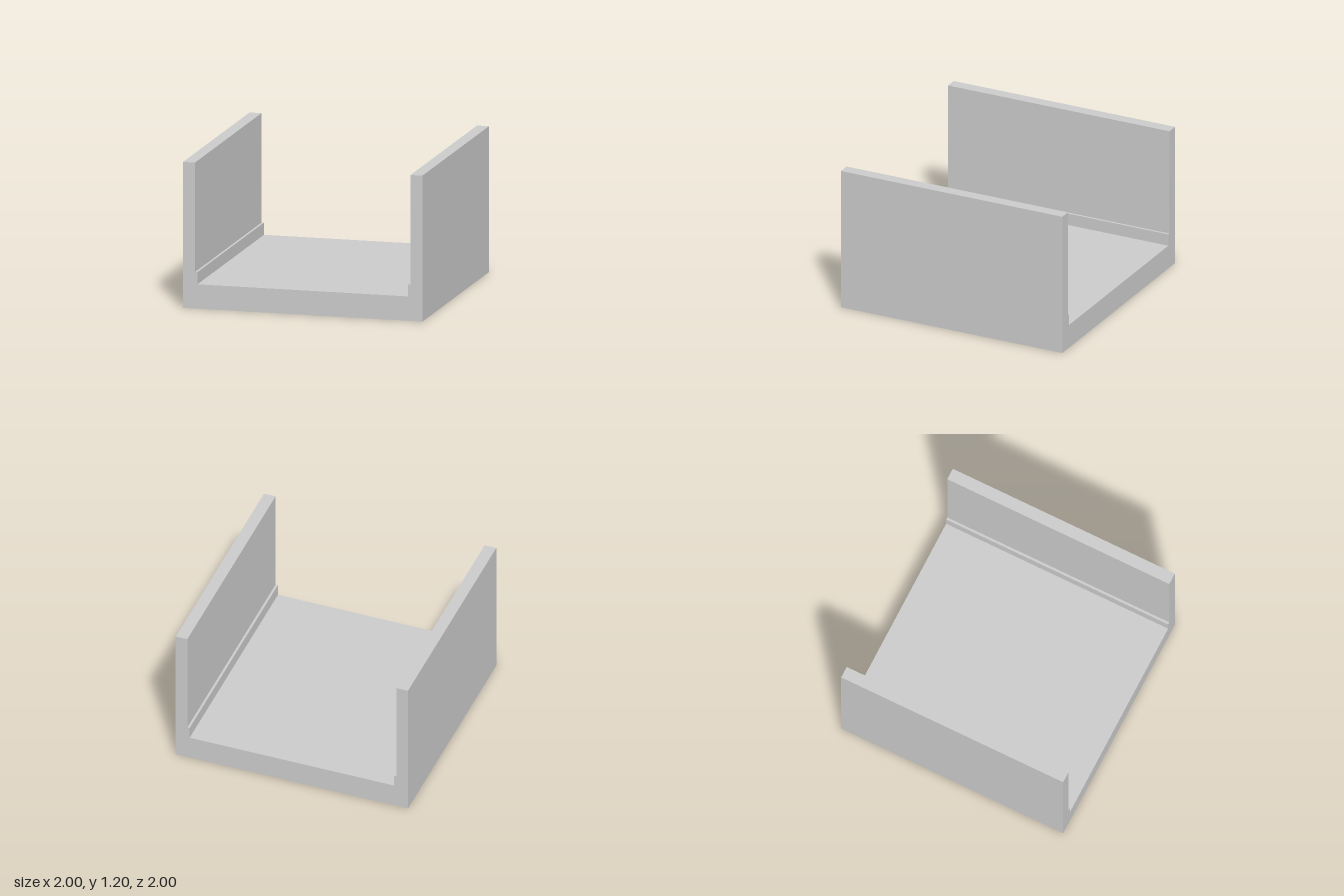
import * as THREE from 'three';

export function createModel() {
  const model = new THREE.Group();
  const material = new THREE.MeshStandardMaterial({ color: 0xcccccc });
  const depth = 2;

  // Full-depth box given by its x and y extents
  const addSlab = (name, x0, x1, y0, y1) => {
    const geometry = new THREE.BoxGeometry(x1 - x0, y1 - y0, depth);
    const mesh = new THREE.Mesh(geometry, material);
    mesh.name = name;
    mesh.position.set((x0 + x1) / 2, (y0 + y1) / 2, 0);
    model.add(mesh);
  };

  // Thick floor under everything
  addSlab('floor', -1, 1, 0, 0.2);

  // Side walls standing on the floor
  addSlab('leftWall', 0.9, 1, 0.2, 1.2);
  addSlab('rightWall', -1, -0.9, 0.2, 1.2);

  // Thin skirting boards along the inner foot of each wall
  addSlab('leftSkirting', 0.88, 0.9, 0.2, 0.3);
  addSlab('rightSkirting', -0.9, -0.88, 0.2, 0.3);

  return model;
}
